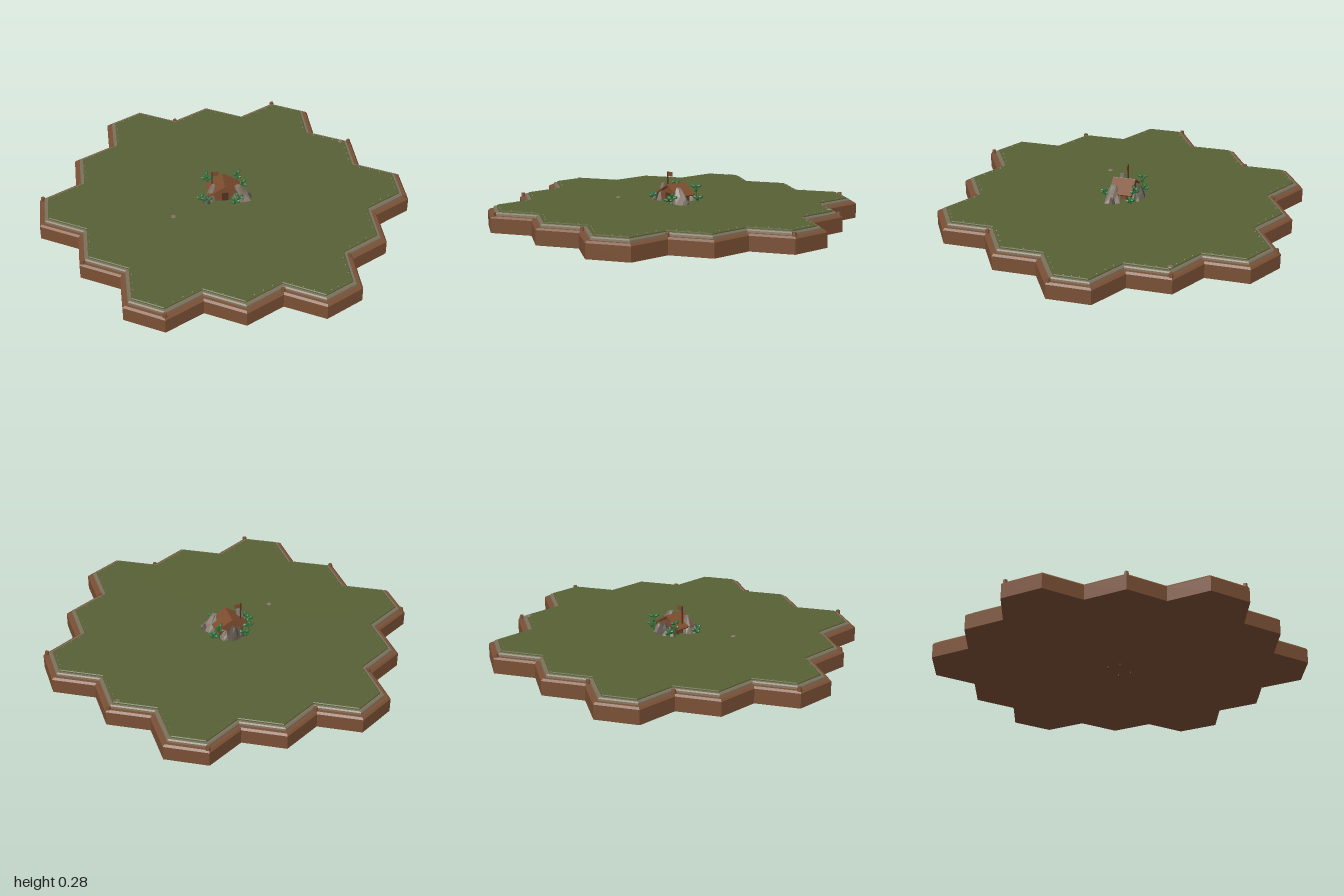
import * as THREE from 'three';

const mat = (name, color) => {
  const m = new THREE.MeshStandardMaterial({ color });
  m.name = name;
  m.flatShading = true;
  return m;
};

export function createModel() {
  const soil = mat('soil', 0x7a5035), grass = mat('grass', 0x586036), stone = mat('rim stone', 0x7c705a);
  const wood = mat('wood', 0x7d4c2e), rock = mat('rock', 0x83766a), darkRock = mat('dark rock', 0x5a5048);
  const leaf = mat('leaf', 0x2f6f38), darkWood = mat('dark wood', 0x4f3220);
  const model = new THREE.Group();
  model.name = 'hexIsland';

  const add = (parent, name, geo, material, x = 0, y = 0, z = 0) => {
    const m = new THREE.Mesh(geo, material);
    m.name = name;
    m.position.set(x, y, z);
    parent.add(m);
    return m;
  };

  // Outline of nineteen joined hexagons: one quarter, mirrored round
  const quarter = [[0, 0.924], [0.2, 0.808], [0.4, 0.924], [0.6, 0.808], [0.6, 0.577], [0.8, 0.462], [0.8, 0.231], [1, 0.115]];
  const right = [...quarter.map(([x, z]) => [x, -z]), ...quarter.slice().reverse()];
  const left = right.slice(1, -1).reverse().map(([x, z]) => [-x, z]);
  const outline = [...right, ...left];
  const count = outline.length;

  const normal = i => {
    const [ax, az] = outline[(i + count) % count], [bx, bz] = outline[(i + 1) % count];
    const l = Math.hypot(bx - ax, bz - az);
    return [-(bz - az) / l, (bx - ax) / l];
  };
  // Corner i moved inwards by t; t = null gives the centre
  const corner = (i, t, y) => {
    if (t === null) return [0, y, 0];
    const k = i % count, p = normal(k - 1), q = normal(k);
    const s = t / (1 + p[0] * q[0] + p[1] * q[1]);
    return [outline[k][0] + (p[0] + q[0]) * s, y, outline[k][1] + (p[1] + q[1]) * s];
  };
  // Skin through rings of [inset, height], listed from below upwards
  const layer = (name, material, rings) => {
    const v = [];
    for (let r = 0; r < rings.length - 1; r++) {
      for (let i = 0; i < count; i++) {
        const a0 = corner(i, ...rings[r]), b0 = corner(i + 1, ...rings[r]);
        const a1 = corner(i, ...rings[r + 1]), b1 = corner(i + 1, ...rings[r + 1]);
        if (rings[r + 1][0] !== null) v.push(...a0, ...a1, ...b1);
        if (rings[r][0] !== null) v.push(...a0, ...b1, ...b0);
      }
    }
    const g = new THREE.BufferGeometry();
    g.setAttribute('position', new THREE.Float32BufferAttribute(v, 3));
    g.computeVertexNormals();
    add(model, name, g, material);
  };
  layer('soilBase', soil, [[null, 0.012], [0, 0.012], [0, 0.09], [0.01, 0.1], [0.035, 0.1]]);
  layer('stoneRim', stone, [[0.026, 0.098], [0.028, 0.11], [0.034, 0.116], [0.052, 0.116]]);
  layer('grassTop', grass, [[0.046, 0.11], [0.047, 0.121], [0.051, 0.124], [null, 0.124]]);

  // Small knobs on every third corner of the rim
  for (let i = 2; i < count; i += 3) {
    const [x, , z] = corner(i, 0.019, 0);
    add(model, 'rimKnob', new THREE.CylinderGeometry(0.011, 0.014, 0.022, 6), soil, x, 0.107, z);
  }
  // Low tufts just inside each edge
  for (let i = 0; i < count; i++) {
    const a = corner(i, 0.06, 0), b = corner(i + 1, 0.06, 0);
    for (const t of [0.25, 0.5, 0.75]) {
      const x = a[0] + (b[0] - a[0]) * t, z = a[2] + (b[2] - a[2]) * t;
      add(model, 'grassTuft', new THREE.ConeGeometry(0.007, 0.006, 5), grass, x, 0.126, z);
    }
  }
  // Flat pebbles
  for (const [x, z] of [[-0.29, 0.155], [0.73, -0.435]])
    add(model, 'pebble', new THREE.CylinderGeometry(0.013, 0.016, 0.004, 6), stone, x, 0.125, z);

  // Hut with a gabled roof
  const hut = new THREE.Group();
  hut.name = 'hut';
  model.add(hut);
  const gable = new THREE.Shape([[-0.06, 0], [0.06, 0], [0.06, 0.05], [0, 0.085], [-0.06, 0.05]].map(p => new THREE.Vector2(...p)));
  add(hut, 'walls', new THREE.ExtrudeGeometry(gable, { depth: 0.1, bevelEnabled: false }), wood, 0, 0.122, -0.055);
  for (const s of [-1, 1]) {
    const slab = add(hut, 'roofSlope', new THREE.BoxGeometry(0.108, 0.008, 0.125), wood, s * 0.046, 0.189, -0.005);
    slab.rotation.z = -s * 0.56;
    for (const z of [-0.04, 0.035])
      add(hut, 'footPost', new THREE.CylinderGeometry(0.006, 0.006, 0.17, 6), darkWood, s * 0.06, 0.085, z);
  }
  add(hut, 'doorway', new THREE.BoxGeometry(0.035, 0.05, 0.004), darkWood, 0, 0.148, 0.046);

  // Pole with a small flag
  add(hut, 'flagPole', new THREE.CylinderGeometry(0.004, 0.004, 0.15, 6), darkWood, -0.065, 0.202, -0.01);
  add(hut, 'flag', new THREE.BoxGeometry(0.034, 0.024, 0.004), wood, -0.047, 0.264, -0.01);

  // Tapered boulders: x, z, radius, height, lean in x, material
  const boulders = [
    [0.095, 0.035, 0.05, 0.085, -0.025, rock], [0.055, 0.055, 0.024, 0.045, 0, rock],
    [-0.075, 0.025, 0.034, 0.095, 0.012, rock], [-0.1, 0.05, 0.026, 0.045, 0.005, darkRock],
    [0, -0.085, 0.042, 0.065, 0, darkRock], [-0.045, -0.075, 0.028, 0.05, 0.01, darkRock],
    [0.05, -0.08, 0.028, 0.045, -0.005, rock], [0.125, 0.03, 0.022, 0.035, 0, darkRock],
  ];
  boulders.forEach(([x, z, r, h, lean, m], n) => {
    const g = new THREE.CylinderGeometry(r * 0.3, r, h, 7, 2);
    const p = g.attributes.position;
    for (let i = 0; i < p.count; i++) {
      const t = p.getY(i) / h + 0.5;
      const a = Math.round(Math.atan2(p.getZ(i), p.getX(i)) * 100) / 100;
      const bump = 1 + 0.14 * Math.sin(a * 3 + n + t * 4);
      p.setXYZ(i, p.getX(i) * bump + lean * t, p.getY(i), p.getZ(i) * bump);
    }
    g.computeVertexNormals();
    add(model, 'boulder', g, m, x, 0.122 + h / 2, z);
  });

  // Leafy plants: x, z, height
  const plants = [
    [-0.085, -0.085, 0.085], [0.08, -0.085, 0.085], [-0.1, 0.065, 0.035], [0.05, 0.085, 0.03],
    [-0.125, 0.035, 0.028], [0.11, -0.07, 0.03], [-0.06, -0.1, 0.035], [0.07, 0.08, 0.05],
  ];
  plants.forEach(([x, z, h], n) => {
    const plant = new THREE.Group();
    plant.name = 'plant';
    plant.position.set(x, 0.122, z);
    model.add(plant);
    add(plant, 'stem', new THREE.CylinderGeometry(0.0025, 0.004, h, 5), leaf, 0, h / 2, 0);
    for (let k = 0; k < 4; k++) {
      const a = k * 1.57 + n * 0.8;
      const blade = add(plant, 'leaf', new THREE.SphereGeometry(0.016, 6, 4), leaf,
        Math.cos(a) * 0.015, h * (k % 2 ? 1 : 0.75), Math.sin(a) * 0.015);
      blade.scale.set(1, 0.55, 0.6);
      blade.rotation.set(0, -a, 0.35);
    }
  });
  return model;
}
